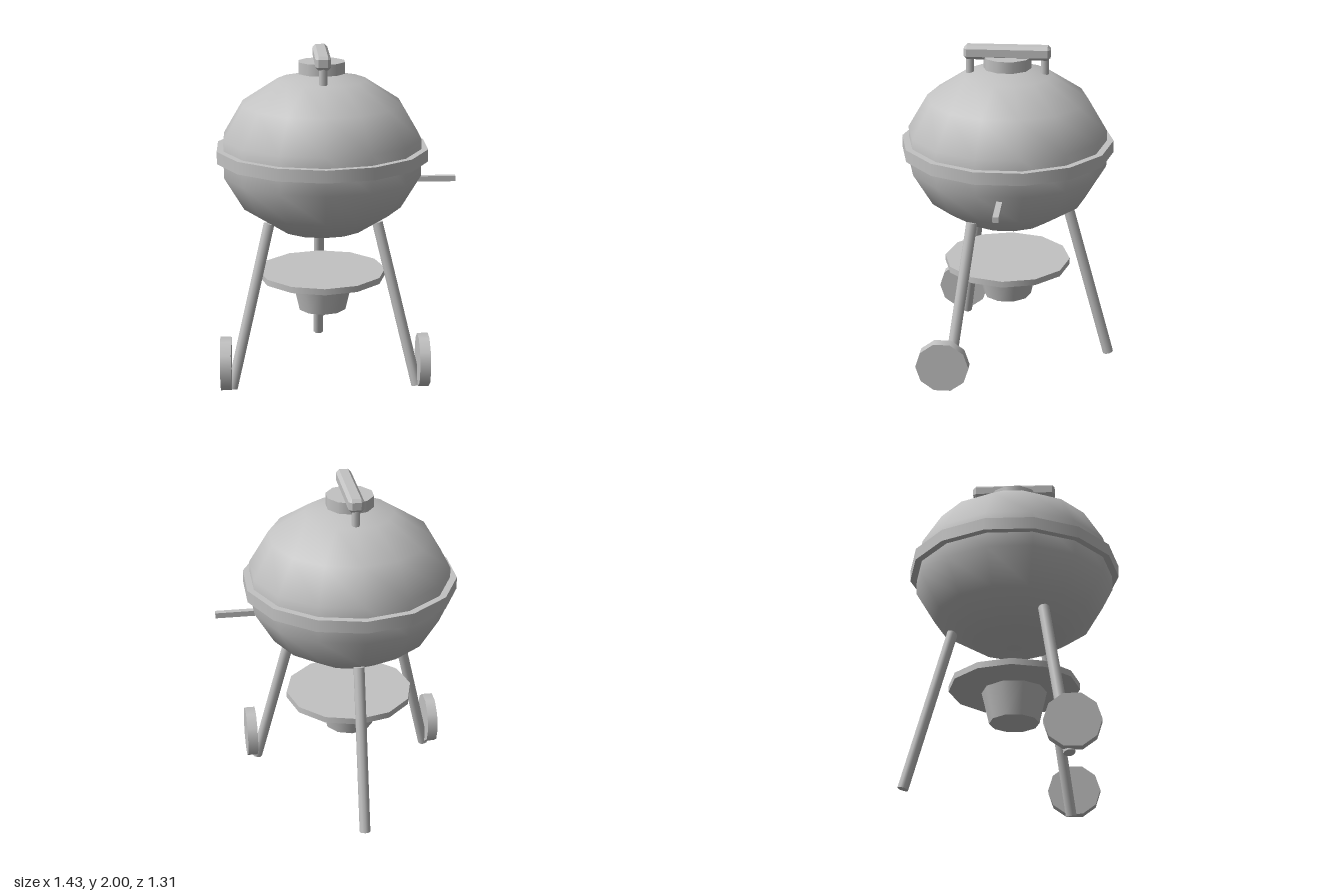
import * as THREE from 'three';
import { ConvexGeometry } from 'three/addons/geometries/ConvexGeometry.js';

const CX = -0.095, CZ = 0.018; // axis of the kettle

export function createModel() {
  const model = new THREE.Group();
  model.name = 'kettleGrill';
  const grey = new THREE.MeshStandardMaterial({ color: 0xc2c2c2 });
  grey.name = 'grey';

  // Positions are relative to the kettle axis
  const add = (name, geometry, x = 0, y = 0, z = 0) => {
    const mesh = new THREE.Mesh(geometry, grey);
    mesh.name = name;
    mesh.position.set(CX + x, y, CZ + z);
    model.add(mesh);
    return mesh;
  };
  const disc = (name, rTop, rBottom, y0, y1, sides) =>
    add(name, new THREE.CylinderGeometry(rTop, rBottom, y1 - y0, sides), 0, (y0 + y1) / 2, 0);

  // Squashed kettle with its rim
  const kettle = new THREE.SphereGeometry(1, 14, 7).rotateY(Math.PI / 2).scale(0.615, 0.5, 0.615);
  add('kettle', kettle, 0, 1.375, 0);
  disc('rim', 0.64, 0.64, 1.352, 1.426, 14);

  // Lid vent
  disc('vent', 0.143, 0.143, 1.865, 1.934, 10);

  // Chamfered lid handle on two posts
  const half = [0.045, 0.041, 0.257], c = 0.018, points = [];
  for (const sx of [-1, 1]) for (const sy of [-1, 1]) for (const sz of [-1, 1]) {
    for (let face = 0; face < 3; face++) {
      const p = half.map((h, i) => (i === face ? h : h - c));
      points.push(new THREE.Vector3(sx * p[0], sy * p[1], sz * p[2]));
    }
  }
  add('lidHandle', new ConvexGeometry(points), 0, 1.959, 0);
  for (const s of [-1, 1]) {
    add('handlePost', new THREE.CylinderGeometry(0.024, 0.024, 0.12, 8), 0, 1.885, s * 0.222);
  }

  // Side lever
  add('sideLever', new THREE.BoxGeometry(0.38, 0.033, 0.035), 0.617, 1.214, 0);

  // Three splayed legs, one at the back
  const up = new THREE.Vector3(0, 1, 0);
  for (const angle of [60, 180, 300]) {
    const a = THREE.MathUtils.degToRad(angle);
    const top = new THREE.Vector3(Math.sin(a) * 0.372, 0.995, Math.cos(a) * 0.372);
    const foot = new THREE.Vector3(Math.sin(a) * 0.642, 0.009, Math.cos(a) * 0.642);
    const mid = top.clone().add(foot).multiplyScalar(0.5);
    const leg = add('leg', new THREE.CylinderGeometry(0.033, 0.033, top.distanceTo(foot), 10), mid.x, mid.y, mid.z);
    leg.quaternion.setFromUnitVectors(up, top.sub(foot).normalize());
  }

  // Wheels outside the front legs
  for (const s of [-1, 1]) {
    const wheel = new THREE.CylinderGeometry(0.16, 0.16, 0.064, 10).rotateZ(Math.PI / 2);
    add('wheel', wheel, s * 0.59, 0.177, 0.342);
  }

  // Tray and ash pot
  disc('tray', 0.389, 0.389, 0.61, 0.648, 12);
  disc('ashPot', 0.193, 0.148, 0.402, 0.596, 10);

  return model;
}
